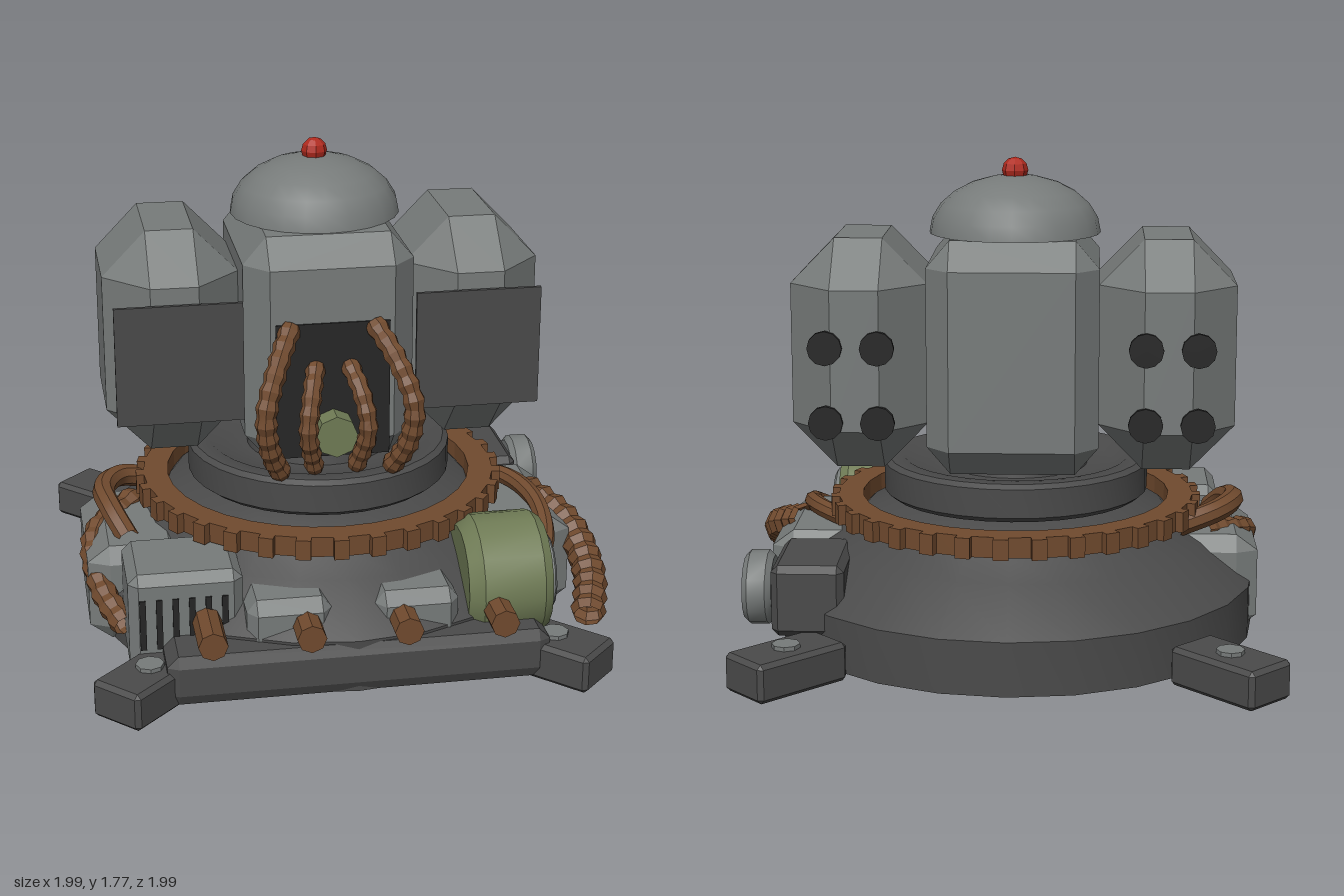
import * as THREE from 'three';
import { toCreasedNormals } from 'three/addons/utils/BufferGeometryUtils.js';
import { ConvexGeometry } from 'three/addons/geometries/ConvexGeometry.js';

const V = (x, y, z) => new THREE.Vector3(x, y, z);

// Box with all edges chamfered: hull of six inset face rectangles
function chamferBox(w, h, d, c, cy = c, cz = c) {
  const s = [w / 2, h / 2, d / 2], k = [c, cy, cz], pts = [];
  for (let axis = 0; axis < 3; axis++)
    for (let i = 0; i < 8; i++) {
      const p = [0, 1, 2].map(a => (i >> a & 1 ? 1 : -1) * (a === axis ? s[a] : s[a] - k[a]));
      pts.push(V(...p));
    }
  return new ConvexGeometry(pts);
}

// Turned solid, profile listed from bottom to top
function turned(profile, sides, crease = 0.6) {
  const pts = profile.map(([r, y]) => new THREE.Vector2(r, y));
  return toCreasedNormals(new THREE.LatheGeometry(pts, sides), crease);
}

// Tube along a curve; ribbed hoses swell and shrink from ring to ring
function hoseGeometry(points, radius, ribs) {
  const curve = new THREE.CatmullRomCurve3(points.map(p => V(...p)));
  const steps = ribs ? ribs * 2 : 20, sides = 8;
  const g = new THREE.TubeGeometry(curve, steps, radius, sides);
  if (ribs) {
    const pos = g.attributes.position, v = V(0, 0, 0);
    for (let i = 0; i <= steps; i++) {
      const centre = curve.getPointAt(i / steps);
      for (let j = 0; j <= sides; j++) {
        const n = i * (sides + 1) + j;
        v.fromBufferAttribute(pos, n).sub(centre).multiplyScalar(i % 2 ? 1.12 : 0.9).add(centre);
        pos.setXYZ(n, v.x, v.y, v.z);
      }
    }
  }
  return toCreasedNormals(g, 0.3);
}

export function createModel() {
  const mat = (name, color, side = THREE.FrontSide) => {
    const m = new THREE.MeshStandardMaterial({ color, side });
    m.name = name;
    return m;
  };
  const grey = mat('light grey metal', 0x777b7a);
  const dark = mat('dark grey metal', 0x4a4a4a, THREE.DoubleSide);
  const black = mat('black', 0x262626);
  const brown = mat('copper brown', 0x704a2e, THREE.DoubleSide);
  const green = mat('olive green', 0x6f7b55);
  const red = mat('red lamp', 0xb02a1e);

  const model = new THREE.Group();
  model.name = 'turretMachine';
  model.position.x = -0.025; // symmetry axis of the machine
  const root = new THREE.Group();
  root.add(model);

  const add = (name, geo, material, x = 0, y = 0, z = 0) => {
    const m = new THREE.Mesh(geo, material);
    m.name = name;
    m.position.set(x, y, z);
    model.add(m);
    return m;
  };
  const box = (name, material, x0, x1, y0, y1, z0, z1, ...c) =>
    add(name, chamferBox(x1 - x0, y1 - y0, z1 - z0, ...c), material, (x0 + x1) / 2, (y0 + y1) / 2, (z0 + z1) / 2);

  // Hollow base skirt
  add('baseSkirt', turned([[0.897, 0.015], [0.897, 0.21], [0.715, 0.355], [0.6, 0.42], [0.56, 0.46], [0.4, 0.5]], 24), dark, 0, 0, -0.035);

  // Toothed ring
  const teeth = 32, gear = new THREE.Shape();
  for (let i = 0; i < teeth; i++)
    [[0, 0.665], [0.6, 0.665], [0.6, 0.695], [1, 0.695]].forEach(([f, r], j) => {
      const a = (i + f) / teeth * Math.PI * 2;
      gear[i + j ? 'lineTo' : 'moveTo'](Math.cos(a) * r, Math.sin(a) * r);
    });
  gear.holes.push(new THREE.Path().absarc(0, 0, 0.575, 0, Math.PI * 2, true));
  const gearGeo = new THREE.ExtrudeGeometry(gear, { depth: 0.075, bevelEnabled: false, curveSegments: 16 });
  add('gearRing', gearGeo.rotateX(-Math.PI / 2), brown, 0, 0.435, -0.025);

  // Rotating collar and neck
  add('collar', turned([[0.3, 0.5], [0.47, 0.51], [0.495, 0.53], [0.495, 0.635], [0.475, 0.65], [0.42, 0.65],
    [0.37, 0.62], [0.27, 0.62], [0.25, 0.72], [0, 0.72]], 32), dark, 0, 0, -0.02);

  // Central body, dome and lamp
  box('body', grey, -0.31, 0.31, 0.65, 1.5, -0.445, 0.32, 0.085, 0.1, 0.095);
  const dome = [[0, 1.5]];
  for (let i = 0; i <= 6; i++) {
    const a = i / 6 * Math.PI / 2;
    dome.push([0.313 * Math.cos(a), 1.5 + 0.21 * Math.sin(a)]);
  }
  add('dome', turned(dome, 24), grey, 0, 0, -0.095);
  add('beacon', toCreasedNormals(new THREE.SphereGeometry(0.048, 8, 6), 0.1), red, 0, 1.725, -0.095);

  // Front recess, port and its four hoses
  add('recessPanel', new THREE.BoxGeometry(0.415, 0.51, 0.009), black, 0, 0.945, 0.322);
  add('port', toCreasedNormals(new THREE.CylinderGeometry(0.078, 0.078, 0.1, 8).rotateX(Math.PI / 2), 0.1), green, 0, 0.795, 0.36);
  for (const s of [-1, 1]) {
    add('outerFrontHose', hoseGeometry([[s * 0.15, 1.19, 0.31], [s * 0.215, 1.08, 0.42], [s * 0.265, 0.93, 0.485],
      [s * 0.25, 0.78, 0.46], [s * 0.2, 0.66, 0.39]], 0.038, 11), brown);
    add('innerFrontHose', hoseGeometry([[s * 0.06, 1.04, 0.31], [s * 0.092, 0.95, 0.41], [s * 0.108, 0.83, 0.44],
      [s * 0.075, 0.66, 0.37]], 0.034, 8), brown);
  }

  // Side pods with front shields and rear studs
  const stud = toCreasedNormals(new THREE.CylinderGeometry(0.062, 0.062, 0.02, 12).rotateX(Math.PI / 2), 0.6);
  for (const s of [-1, 1]) {
    add('pod', chamferBox(0.493, 0.84, 0.707, 0.16, 0.165, 0.17), grey, s * 0.555, 1.08, -0.104);
    add('podShield', new THREE.BoxGeometry(0.46, 0.445, 0.015), dark, s * 0.545, 1.053, 0.264);
    for (const x of [0.475, 0.66]) for (const y of [0.86, 1.13]) add('podStud', stud, black, s * x, y, -0.462);
  }

  // Diagonal feet with bolts
  const bolt = toCreasedNormals(new THREE.CylinderGeometry(0.05, 0.05, 0.03, 8), 0.1);
  for (const s of [-1, 1])
    for (const [x, z, side] of [[0.768, -0.802, -1], [0.725, 0.793, 1]]) {
      add('foot', chamferBox(0.212, 0.14, 0.38, 0.016), dark, s * x, 0.07, z).rotation.y = s * side * Math.PI / 4;
      add('footBolt', bolt, grey, s * x, 0.14, z);
    }

  // Hull blocks on both sides
  for (const s of [-1, 1]) add('sideHull', chamferBox(0.38, 0.37, 0.57, 0.08, 0.06, 0.04), grey, s * 0.715, 0.2, 0.07);

  // Front bumper, small housings and pegs
  box('bumper', dark, -0.67, 0.69, 0.015, 0.2, 0.62, 0.872, 0.04, 0.04, 0.02);
  for (const s of [-1, 1]) box('frontHousing', grey, s * 0.228 - 0.15, s * 0.228 + 0.15, 0.05, 0.34, 0.5, 0.79, 0.035, 0.045, 0.045);
  const peg = toCreasedNormals(new THREE.CylinderGeometry(0.052, 0.052, 0.24, 8).rotateX(Math.PI / 2), 0.1);
  for (let i = 0; i < 4; i++) add('frontPeg', peg, brown, -0.513 + i * 0.343, 0.25, 0.775);

  // Vented box
  box('ventBox', grey, -0.785, -0.38, 0.05, 0.43, 0.345, 0.695, 0.035);
  for (let i = 0; i < 6; i++) add('ventSlot', new THREE.BoxGeometry(0.022, 0.19, 0.009), black, -0.737 + i * 0.058, 0.25, 0.696);

  // Drum lying across the front corner
  const drum = add('drum', turned([[0, 0], [0.19, 0], [0.23, 0.05], [0.23, 0.27], [0.205, 0.305], [0, 0.305]], 18), green, 0.42, 0.28, 0.56);
  const cap = add('drumCap', turned([[0, 0.28], [0.155, 0.28], [0.155, 0.325], [0.14, 0.335], [0, 0.335]], 14), grey, 0.42, 0.28, 0.56);
  drum.rotation.z = cap.rotation.z = -Math.PI / 2;

  // Side bracket with round lamp
  box('lampBracket', dark, 0.585, 0.845, 0.12, 0.38, -0.645, -0.25, 0.025);
  const lamp = add('sideLamp', turned([[0, 0], [0.115, 0], [0.135, 0.02], [0.135, 0.085], [0.115, 0.105], [0, 0.105]], 14), grey, 0.855, 0.25, -0.455);
  lamp.rotation.z = -Math.PI / 2;

  // Side hoses
  add('ribbedHose', hoseGeometry([[0.895, 0.12, 0.64], [0.95, 0.2, 0.45], [0.925, 0.3, 0.22], [0.8, 0.37, 0.02]], 0.06, 11), brown);
  add('smoothHose', hoseGeometry([[0.72, 0.26, 0.53], [0.79, 0.34, 0.4], [0.8, 0.4, 0.2], [0.73, 0.42, 0], [0.6, 0.4, -0.12]], 0.035), brown);
  add('ribbedHose', hoseGeometry([[-0.79, 0.17, 0.53], [-0.855, 0.23, 0.36], [-0.865, 0.33, 0.1], [-0.7, 0.38, -0.12]], 0.046, 11), brown);
  add('smoothHose', hoseGeometry([[-0.75, 0.38, 0.24], [-0.8, 0.45, 0.14], [-0.82, 0.475, 0], [-0.75, 0.465, -0.14], [-0.6, 0.42, -0.2]], 0.042), brown);

  return root;
}
